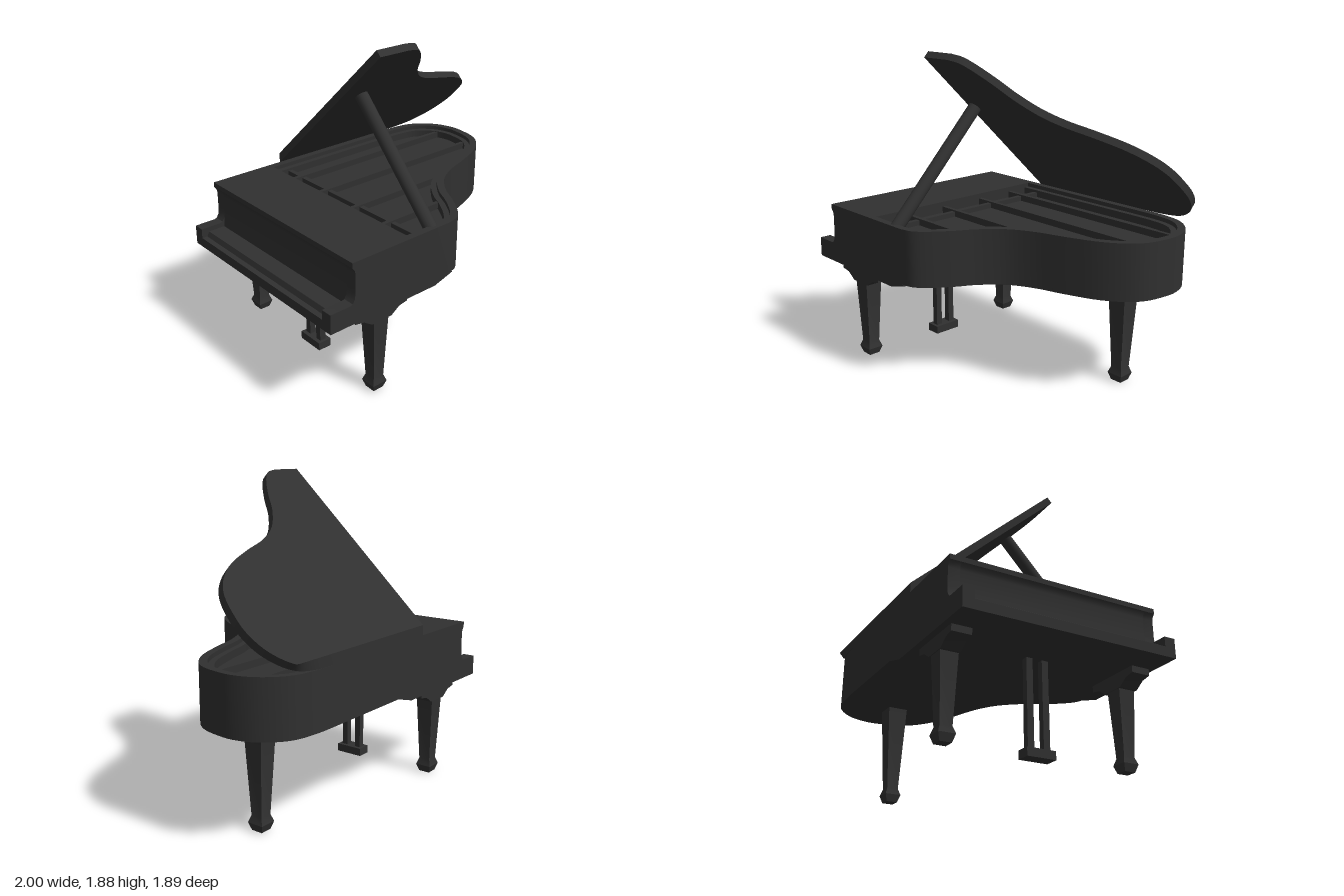
import * as THREE from 'three';
import { toCreasedNormals } from 'three/addons/utils/BufferGeometryUtils.js';

// Local axes: x runs from keyboard to tail, z from bass to treble.
const WIDTH = 1.335, TOP = 0.94, LID_ANGLE = 0.75;
const V = (x, y) => new THREE.Vector2(x, y);

// Curved edge of the case, from the end of the spine round the tail to the treble side.
const bend = new THREE.CatmullRomCurve3([
  [1.5, 0], [1.65, 0.005], [1.784, 0.03], [1.87, 0.084], [1.943, 0.175], [1.977, 0.284],
  [1.976, 0.369], [1.95, 0.498], [1.895, 0.585], [1.775, 0.678], [1.585, 0.756],
  [1.403, 0.816], [1.267, 0.893], [1.154, 1.02], [1.09, 1.136], [1.0, 1.263],
  [0.94, 1.315], [0.86, WIDTH],
].map(([x, z]) => new THREE.Vector3(x, 0, z)));

// Plan outline starting at x = start, moved inwards by inset.
function outline(start, inset = 0) {
  const pts = [V(start, inset)];
  for (let i = 0; i <= 72; i++) {
    const p = bend.getPoint(i / 72), t = bend.getTangent(i / 72);
    pts.push(V(p.x - t.z * inset, p.z + t.x * inset));
  }
  pts.push(V(start, WIDTH - inset));
  return pts;
}

// Plan shape raised from y0 to y1.
function slab(pts, y0, y1) {
  const shape = new THREE.Shape(pts.map((p) => V(p.x, -p.y)));
  const g = new THREE.ExtrudeGeometry(shape, { depth: y1 - y0, bevelEnabled: false });
  return g.rotateX(-Math.PI / 2).translate(0, y0, 0);
}

// Side profile (x, y) drawn across the width from z0 to z1.
function across(profile, z0, z1) {
  const shape = new THREE.Shape(profile.map(([x, y]) => V(x, y)));
  return new THREE.ExtrudeGeometry(shape, { depth: z1 - z0, bevelEnabled: false }).translate(0, 0, z0);
}

export function createModel() {
  const black = new THREE.MeshStandardMaterial({ color: 0x303030 });
  black.name = 'black lacquer';
  const model = new THREE.Group();
  model.name = 'grandPiano';
  const piano = new THREE.Group();
  piano.name = 'piano';
  piano.rotation.y = 0.36;
  piano.position.set(-1, 0, -0.33);
  model.add(piano);

  function add(name, geometry, parent = piano) {
    const mesh = new THREE.Mesh(toCreasedNormals(geometry, 0.5), black);
    mesh.name = name;
    parent.add(mesh);
    return mesh;
  }
  const box = (name, w, h, d, x, y, z) =>
    add(name, new THREE.BoxGeometry(w, h, d).translate(x, y, z));

  // Front case: two cheeks with the key well between them
  const front = 0.57, cheek = 0.07;
  const upper = [[0.165, 0.72], [0.17, 0.76], [0.17, 0.87], [0.165, 0.89], [0.15, 0.91], [0.15, TOP]];
  const shell = [...upper, [front, TOP], [front, 0.57]].reverse();
  const cheekProfile = [...shell, [0.15, 0.695], [0.13, 0.69], [0, 0.69], [0, 0.57]];
  const wellProfile = [...shell, [0.16, 0.66], [0.05, 0.66], [0.035, 0.63], [0, 0.63], [0, 0.57]];
  add('leftCheek', across(cheekProfile, 0, cheek));
  add('rightCheek', across(cheekProfile, WIDTH - cheek, WIDTH));
  add('keyWell', across(wellProfile, cheek, WIDTH - cheek));
  add('keyBed', across([[front, 0.57], [0.76, 0.57], [0.9, 0.61], [front, 0.61]], 0, WIDTH));

  // Curved rim, inner ledge and soundboard
  const ring = (a, b) => [...outline(front, a), ...outline(front, b).reverse()];
  add('rim', slab(ring(0, 0.045), 0.61, TOP));
  add('innerLedge', slab(ring(0.045, 0.08), 0.8, 0.915));
  add('soundboard', slab(outline(front, 0.045), 0.61, 0.87));

  // Iron frame bars over the soundboard
  [[0.215, 1.89], [0.48, 1.87], [0.78, 1.4], [1.056, 1.06]].forEach(([z, end]) =>
    box('frameBar', end - front, 0.05, 0.025, (front + end) / 2, 0.885, z));
  box('frameCrossBar', 0.03, 0.04, WIDTH - 0.1, 0.675, 0.88, WIDTH / 2);

  // Raised lid, mitred along the hinge
  const lidGeometry = slab(outline(0.65), 0, 0.045);
  const pos = lidGeometry.attributes.position;
  for (let i = 0; i < pos.count; i++) {
    pos.setZ(i, Math.max(pos.getZ(i), pos.getY(i) * Math.tan(LID_ANGLE)));
  }
  const lid = add('lid', lidGeometry);
  lid.position.y = TOP;
  lid.rotation.x = -LID_ANGLE;

  // Lid prop
  const foot = new THREE.Vector3(0.762, 0.91, 1.29), head = new THREE.Vector3(0.762, 1.545, 0.69);
  const prop = add('lidProp', new THREE.CylinderGeometry(0.04, 0.04, foot.distanceTo(head), 16));
  prop.position.copy(foot).lerp(head, 0.5);
  prop.quaternion.setFromUnitVectors(new THREE.Vector3(0, 1, 0), head.clone().sub(foot).normalize());

  // Square tapered legs with flared feet
  function leg(name, x, z, height, width) {
    const profile = [[0, 0], [0.07, 0], [0.1, 0.045], [0.072, 0.085], [width, height]]
      .map(([w, y]) => V(w * Math.SQRT1_2, y));
    const g = new THREE.LatheGeometry(profile, 4, Math.PI / 4);
    add(name, g.translate(x, 0, z));
  }
  const half = [[0.07, 0.48], [0.13, 0.52], [0.19, 0.53], [0.19, 0.572]];
  const bracket = [...half, ...half.map(([x, y]) => [-x, y]).reverse()];
  [['leftFrontLeg', 1.24], ['rightFrontLeg', 0.1]].forEach(([name, z]) => {
    leg(name, 0.387, z, 0.5, 0.11);
    add(name + 'Bracket', across(bracket, -0.06, 0.06).translate(0.387, 0, z));
  });
  leg('tailLeg', 1.68, 0.364, 0.615, 0.125);

  // Pedal lyre
  const mid = WIDTH / 2;
  [-0.05, 0.05].forEach((d) => box('lyrePost', 0.04, 0.54, 0.04, 0.405, 0.31, mid + d));
  box('lyreBase', 0.09, 0.05, 0.18, 0.405, 0.025, mid);

  return model;
}
